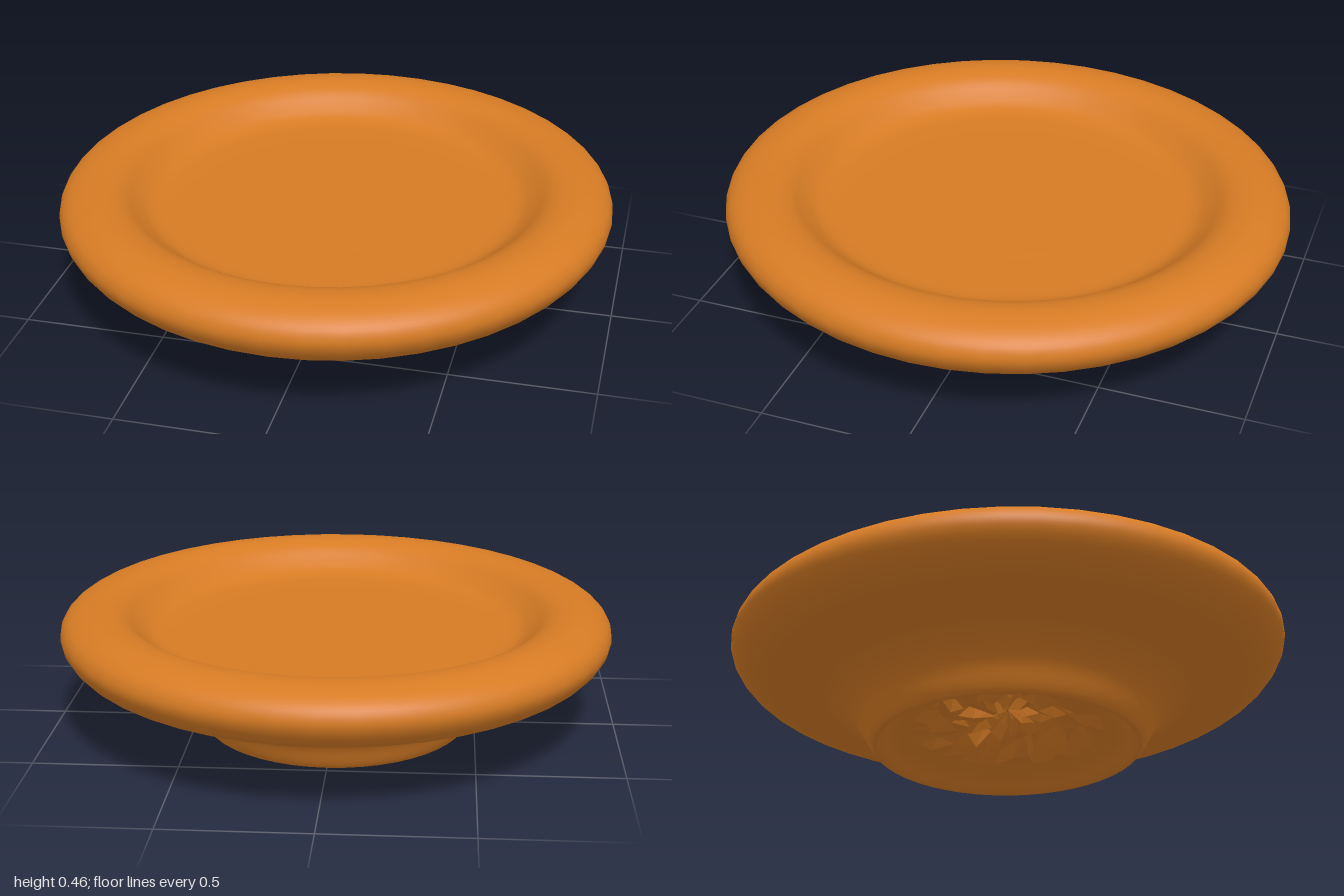
import * as THREE from 'three';

const clay = new THREE.MeshStandardMaterial({ color: 0xd67b24 });
clay.name = 'orange clay';

// repeatable value in -1..1
function hash(a, b) {
  const s = Math.sin(a * 127.1 + b * 311.7) * 43758.5453;
  return (s - Math.floor(s)) * 2 - 1;
}

// hand-thrown look: slightly oval, rim a little higher at the front left
function warp(geometry) {
  const p = geometry.attributes.position;
  for (let i = 0; i < p.count; i++) {
    const x = p.getX(i), y = p.getY(i), z = p.getZ(i);
    const lift = THREE.MathUtils.smoothstep(y, 0.1, 0.4);
    p.setXYZ(i, x * 0.975, y + lift * (0.004 * x + 0.008 * z), z);
  }
  return geometry;
}

// profile: hollow of the foot, foot ring, flared underside, thick rim, sunken floor
function makeDish() {
  const profile = [
    [0.34, 0.075], [0.41, 0.045], [0.455, 0.01], [0.475, 0.003], [0.495, 0.025],
    [0.53, 0.09], [0.575, 0.14], [0.64, 0.18], [0.72, 0.203], [0.86, 0.235],
    [0.94, 0.275], [0.985, 0.325], [0.998, 0.365], [0.985, 0.405], [0.945, 0.437],
    [0.88, 0.456], [0.82, 0.454], [0.77, 0.435], [0.72, 0.395], [0.68, 0.367],
    [0.64, 0.354], [0.58, 0.35], [0.3, 0.35], [0, 0.35],
  ].map(([r, y]) => new THREE.Vector3(r, y, 0));
  const points = new THREE.CatmullRomCurve3(profile, false, 'centripetal')
    .getPoints(92)
    .map((v) => new THREE.Vector2(Math.max(v.x, 0), Math.max(v.y, 0)));
  return warp(new THREE.LatheGeometry(points, 48));
}

// rough, broken-looking ceiling inside the foot
function makeRoughCeiling() {
  const sides = 30, rings = 6, radius = 0.345;
  const g = new THREE.RingGeometry(0.002, radius, sides, rings).rotateX(Math.PI / 2);
  const p = g.attributes.position;
  for (let j = 0; j <= rings; j++) {
    for (let i = 0; i <= sides; i++) {
      const k = j * (sides + 1) + i, n = i % sides;
      const inner = j > 0 && j < rings ? 1 : 0;
      const t = j / rings;
      const grow = 1 + inner * 0.06 * hash(n, j);
      const y = 0.075 + 0.075 * (1 - t * t) + inner * 0.035 * hash(n + 40, j + 7);
      const turn = inner * 0.07 * hash(n + 80, j + 3);
      const x = p.getX(k), z = p.getZ(k);
      p.setXYZ(k,
        grow * (x * Math.cos(turn) - z * Math.sin(turn)), y,
        grow * (x * Math.sin(turn) + z * Math.cos(turn)));
    }
  }
  const flat = warp(g).toNonIndexed();
  flat.computeVertexNormals();
  return flat;
}

export function createModel() {
  const group = new THREE.Group();
  group.name = 'footed dish';
  const add = (geometry, name) => {
    const mesh = new THREE.Mesh(geometry, clay);
    mesh.name = name;
    group.add(mesh);
  };
  add(makeDish(), 'dish body');
  add(makeRoughCeiling(), 'rough foot hollow');
  return group;
}
